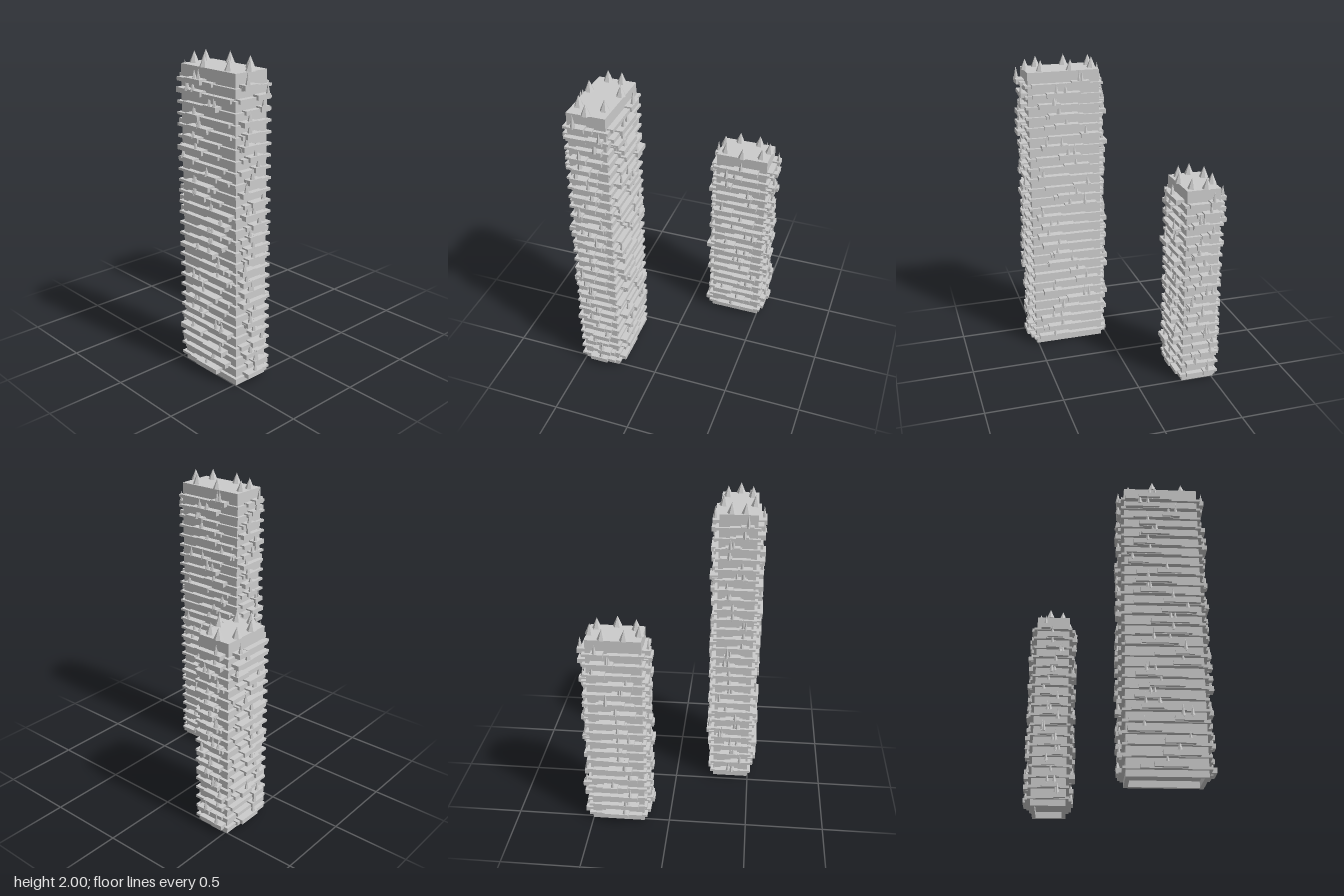
import * as THREE from 'three';

const material = new THREE.MeshStandardMaterial({ color: 0xcccccc, flatShading: true });
const STOREY = 0.069;

// Small seeded generator
function seeded(seed) {
  let s = seed;
  return () => {
    s = (s * 16807) % 2147483647;
    return s / 2147483647;
  };
}

function add(parent, name, geometry, x, y, z) {
  const mesh = new THREE.Mesh(geometry, material);
  mesh.name = name;
  mesh.position.set(x, y, z);
  parent.add(mesh);
  return mesh;
}

// Box standing on height y
function block(parent, name, w, h, d, x, y, z) {
  return add(parent, name, new THREE.BoxGeometry(w, h, d), x, y + h / 2, z);
}

// Pointed tree standing on height y
function tree(parent, name, r, h, sides, x, y, z) {
  return add(parent, name, new THREE.ConeGeometry(r, h, sides), x, y + h / 2, z);
}

// Open rectangular plinth
function plinth(parent, w, d, h, wall) {
  const rect = (P, a, b) => {
    const p = new P();
    p.moveTo(-a, -b);
    p.lineTo(a, -b);
    p.lineTo(a, b);
    p.lineTo(-a, b);
    p.closePath();
    return p;
  };
  const shape = rect(THREE.Shape, w / 2, d / 2);
  shape.holes.push(rect(THREE.Path, w / 2 - wall, d / 2 - wall));
  const geometry = new THREE.ExtrudeGeometry(shape, { depth: h, bevelEnabled: false });
  geometry.rotateX(-Math.PI / 2);
  add(parent, 'plinth', geometry, 0, 0, 0);
}

function tower({ name, x, z, w, d, height, floors, roof, seed }) {
  const group = new THREE.Group();
  group.name = name;
  group.position.set(x, 0, z);
  const rnd = seeded(seed);

  plinth(group, w, d, 0.04, 0.025);
  block(group, 'core', w, height - 0.04, d, 0, 0.04, 0);

  // The four facades: each is drawn facing +z and turned into place
  const facades = [[w, d], [d, w], [w, d], [d, w]].map(([len, depth], i) => {
    const side = new THREE.Group();
    side.name = ['frontFacade', 'leftFacade', 'backFacade', 'rightFacade'][i];
    side.rotation.y = i * Math.PI / 2;
    group.add(side);
    return { side, len, face: depth / 2 };
  });

  for (let k = 0; k < floors; k++) {
    const y = 0.04 + k * STOREY;
    block(group, 'floorSlab', w + 0.04, 0.016, d + 0.04, 0, y, 0);

    for (const { side, len, face } of facades) {
      // Wide shallow balcony and a narrower deep one
      const wide = len * (0.5 + 0.3 * rnd());
      const wideX = (rnd() - 0.5) * (len - wide);
      block(side, 'balcony', wide, 0.024, 0.036, wideX, y, face + 0.018);
      const deep = len * (0.22 + 0.28 * rnd());
      const deepX = (rnd() - 0.5) * (len - deep);
      const out = 0.045 + 0.012 * rnd();
      block(side, 'planter', deep, 0.03, out, deepX, y + 0.004, face + out / 2);

      // Balcony trees
      const count = rnd() < 0.35 ? 2 : 1;
      for (let t = 0; t < count; t++) {
        const tx = deepX + (rnd() - 0.5) * deep * 0.7;
        tree(side, 'balconyTree', 0.013 + 0.005 * rnd(), 0.06 + 0.03 * rnd(), 5,
          tx, y + 0.025, face + 0.03 + 0.01 * rnd());
      }
    }
  }

  // Ring of roof trees
  for (let i = 0; i < 7; i++) {
    const a = i * Math.PI * 2 / 7;
    tree(group, 'roofTree', 0.03, 0.07, 6,
      roof.rx * Math.cos(a), height, roof.rz * Math.sin(a));
  }
  return group;
}

export function createModel() {
  const model = new THREE.Group();
  model.name = 'twinTowers';
  model.add(tower({
    name: 'tallTower', x: 0.275, z: 0.378, w: 0.47, d: 0.24, height: 1.93,
    floors: 27, roof: { rx: 0.225, rz: 0.102 }, seed: 71,
  }));
  model.add(tower({
    name: 'shortTower', x: -0.405, z: -0.332, w: 0.22, d: 0.34, height: 1.315,
    floors: 18, roof: { rx: 0.1, rz: 0.155 }, seed: 1234,
  }));
  return model;
}
